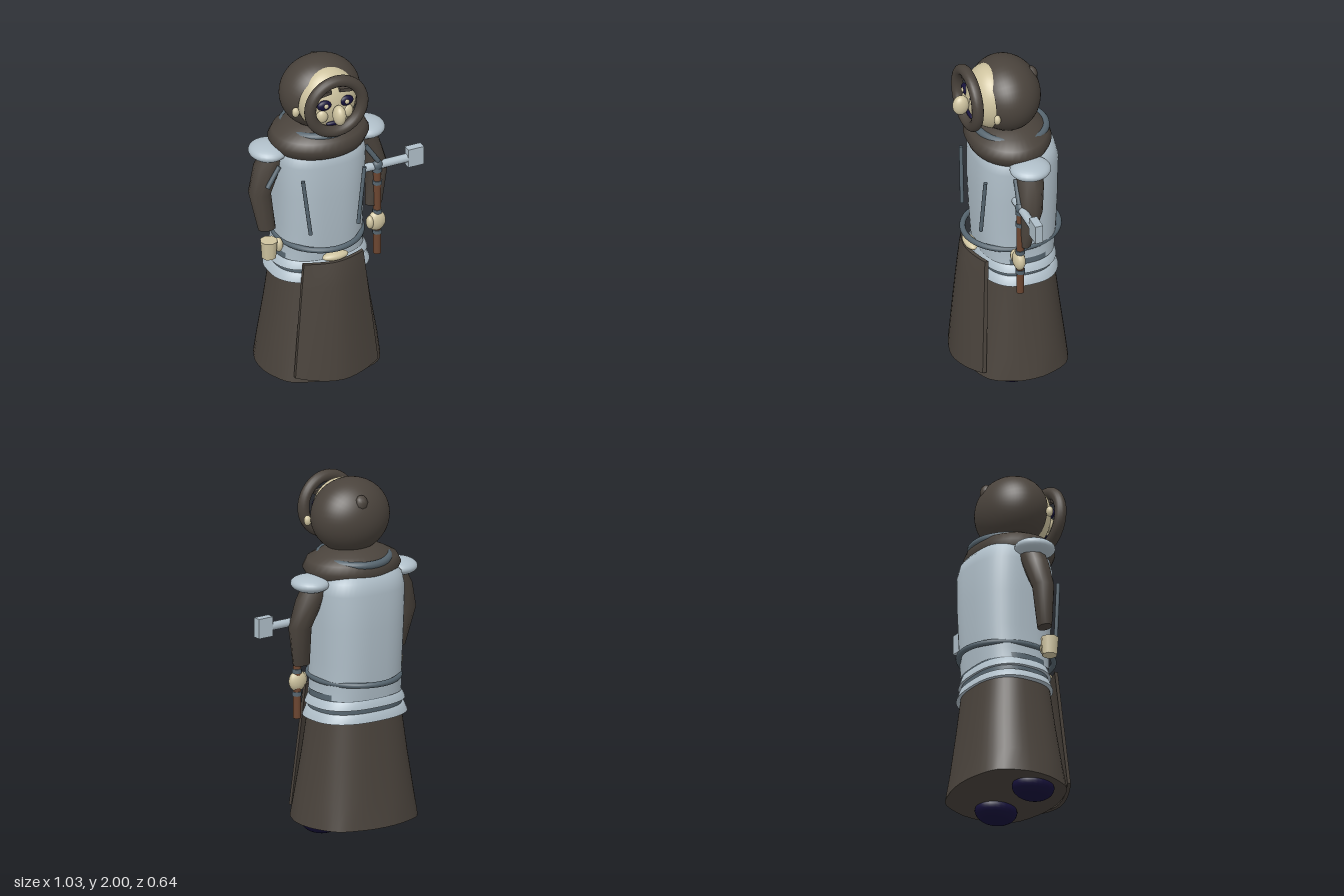
import * as THREE from 'three';

const mat = (name, color) => Object.assign(new THREE.MeshStandardMaterial({ color }), { name });

export function createModel() {
  const cloth = mat('dark cloth', 0x4a433c);
  const steel = mat('pale steel', 0xb0bfc9);
  const slate = mat('slate metal', 0x56656f);
  const skin = mat('skin', 0xcfc4a0);
  const navy = mat('navy', 0x16113a);
  const wood = mat('wood', 0x6b4530);

  const model = new THREE.Group();
  const body = new THREE.Group();
  body.name = 'figure';
  body.position.x = -0.097;
  model.add(body);

  const add = (name, geo, material, pos = [0, 0, 0], scale = [1, 1, 1], parent = body) => {
    const m = new THREE.Mesh(geo, material);
    m.name = name;
    m.position.set(...pos);
    m.scale.set(...scale);
    parent.add(m);
    return m;
  };
  const blob = (name, material, pos, size, seg = 24) =>
    add(name, new THREE.SphereGeometry(1, seg, Math.ceil(seg * 0.67)), material, pos, size);

  // Straight rod between two points
  const rod = (name, material, a, b, r0, r1 = r0, sides = 12) => {
    const p = new THREE.Vector3(...a), q = new THREE.Vector3(...b);
    const d = q.clone().sub(p);
    const m = add(name, new THREE.CylinderGeometry(r1, r0, d.length(), sides), material);
    m.position.copy(p).add(q).multiplyScalar(0.5);
    m.quaternion.setFromUnitVectors(new THREE.Vector3(0, 1, 0), d.normalize());
    return m;
  };

  // Skin over rounded-square rings, lowest first: [y, rx, rz, cx, cz]; a repeated row makes a hard edge
  const loft = (rows, sides = 40, power = 2, wave = () => 0) => {
    const pos = [], index = [];
    const bend = (v) => Math.sign(v) * Math.abs(v) ** (2 / power);
    rows.forEach(([y, rx, rz, cx = 0, cz = 0], j) => {
      for (let i = 0; i < sides; i++) {
        const a = (i / sides) * Math.PI * 2, k = 1 + wave(a, j);
        pos.push(cx + rx * k * bend(Math.cos(a)), y, cz + rz * k * bend(Math.sin(a)));
        if (j === rows.length - 1) continue;
        const p = j * sides + i, q = j * sides + ((i + 1) % sides);
        index.push(p, p + sides, q, q, p + sides, q + sides);
      }
    });
    const g = new THREE.BufferGeometry();
    g.setAttribute('position', new THREE.Float32BufferAttribute(pos, 3));
    g.setIndex(index);
    g.computeVertexNormals();
    return g;
  };

  // Robe skirt with a gently waving hem and closed underside
  add('skirt', loft([
    [0.09, 0.001, 0.001, 0, -0.025], [0.08, 0.345, 0.295, 0, -0.025], [0.08, 0.345, 0.295, 0, -0.025],
    [0.22, 0.325, 0.275, 0, -0.025], [0.45, 0.288, 0.245, 0, -0.028], [0.7, 0.255, 0.215, 0, -0.03],
    [0.7, 0.255, 0.215, 0, -0.03], [0.7, 0.001, 0.001, 0, -0.03],
  ], 48, 2.5, (a, j) => (j < 3 ? 0.012 * Math.cos(8 * a) : 0)), cloth);

  // Hanging front panel, bowed outward and widening to the hem
  const panel = new THREE.BoxGeometry(1, 1, 0.022, 12, 10, 1);
  const pp = panel.attributes.position;
  for (let i = 0; i < pp.count; i++) {
    const u = pp.getX(i) * 2, t = 0.5 - pp.getY(i);
    const mid = 0.235 + 0.075 * t ** 0.6, edge = 0.185 + 0.04 * t;
    pp.setXYZ(i, u * (0.18 + 0.07 * t), 0.81 - t * (0.715 - 0.025 * u * u),
      pp.getZ(i) + mid + (edge - mid) * Math.abs(u) ** 1.7);
  }
  panel.computeVertexNormals();
  add('frontPanel', panel, cloth);

  // Breastplate, waist and flared hip plates
  add('breastplate', loft([
    [0.8, 0.25, 0.21, 0, -0.035], [0.86, 0.245, 0.215, 0, -0.035], [1.0, 0.247, 0.225, 0, -0.035],
    [1.2, 0.255, 0.233, 0, -0.035], [1.4, 0.262, 0.233, 0, -0.035], [1.47, 0.25, 0.215, 0, -0.035],
    [1.52, 0.2, 0.17, 0, -0.04], [1.53, 0.001, 0.001, 0, -0.04],
  ], 48, 2.7), steel);
  add('waist', loft([[0.68, 0.263, 0.205, 0, -0.035], [0.83, 0.254, 0.205, 0, -0.035]], 48, 2.5), slate);
  [[0.675, 0.293], [0.75, 0.28]].forEach(([y, r]) => add('hipPlate', loft([
    [y, 0.24, 0.19, 0, -0.035], [y, r, r * 0.78, 0, -0.035], [y, r, r * 0.78, 0, -0.035],
    [y + 0.045, r - 0.02, r * 0.74, 0, -0.035], [y + 0.05, r - 0.04, r * 0.68, 0, -0.035],
  ], 48, 2.5), steel));
  const ring = (name, R, tube, pos, sx, sz) => {
    const g = new THREE.TorusGeometry(R, tube, 12, 56).rotateX(Math.PI / 2);
    return add(name, g, slate, pos, [sx, 1, sz]);
  };
  ring('belt', 0.265, 0.016, [0, 0.895, -0.025], 0.92, 1.01);
  blob('buckle', skin, [0, 0.835, 0.215], [0.077, 0.025, 0.035]);

  // Cowl and collar ring
  const cowl = [[0.001, 1.43], [0.2, 1.435], [0.26, 1.46], [0.288, 1.515], [0.265, 1.56], [0.2, 1.595], [0.14, 1.62], [0.001, 1.64]];
  add('cowl', loft(cowl.map(([r, y]) => [y, r, r * 0.82, 0, -0.005])), cloth);
  ring('collarRing', 0.2, 0.022, [0, 1.57, -0.025], 0.95, 0.97).rotation.x = -0.06;

  // Hood, open toward the face
  const hood = new THREE.SphereGeometry(1, 40, 24, 0, Math.PI * 2, 0, Math.PI * 0.71).rotateX(-Math.PI / 2);
  const hoodMat = cloth.clone();
  hoodMat.side = THREE.DoubleSide;
  add('hood', hood, hoodMat, [0, 1.79, 0.01], [0.23, 0.21, 0.193]);
  blob('hoodKnot', cloth, [0.03, 1.89, -0.135], [0.04, 0.05, 0.035], 10);
  add('hoodRim', new THREE.TorusGeometry(0.158, 0.033, 14, 48), cloth, [0, 1.803, 0.228]);

  // Head and face
  blob('head', skin, [0, 1.79, 0.1], [0.17, 0.188, 0.13], 32);
  blob('nose', skin, [0, 1.765, 0.268], [0.036, 0.06, 0.047]);
  blob('mouth', navy, [0, 1.69, 0.212], [0.055, 0.014, 0.016]);
  for (const s of [-1, 1]) {
    blob('ear', skin, [s * 0.2, 1.76, 0.13], [0.022, 0.03, 0.02], 10);
    blob('eye', navy, [s * 0.065, 1.816, 0.215], [0.044, 0.031, 0.02]);
    blob('pupil', skin, [s * 0.063, 1.818, 0.232], [0.014, 0.014, 0.009], 12);
    blob('cheek', skin, [s * 0.075, 1.745, 0.205], [0.034, 0.042, 0.028]);
    const brow = add('brow', new THREE.BoxGeometry(0.075, 0.02, 0.025), cloth, [s * 0.062, 1.888, 0.213]);
    brow.rotation.z = -s * 0.15;
  }

  // Sleeves, shoulder plates, straps and boots
  for (const s of [-1, 1]) {
    add('sleeve', loft([
      [0.985, 0.001, 0.001, s * 0.322, 0.02], [0.985, 0.052, 0.035, s * 0.322, 0.02], [0.985, 0.052, 0.035, s * 0.322, 0.02],
      [1.21, 0.065, 0.062, s * 0.353, -0.01], [1.36, 0.078, 0.075, s * 0.3, -0.025], [1.46, 0.075, 0.07, s * 0.25, -0.027],
    ], 10), cloth);
    blob('shoulderPlate', steel, [s * 0.295, 1.457, -0.027], [0.108, 0.048, 0.115]);
    rod('armStrap', slate, [s * 0.26, 1.38, 0.045], [s * 0.335, 1.265, 0.055], 0.014);
    rod('chestStrap', slate, [s * 0.186, 1.345, 0.195], [s * 0.144, 1.0, 0.205], 0.011);
    blob('boot', navy, [s * 0.188, 0.07, 0.03], [0.104, 0.07, 0.122]);
  }

  // Hands
  rod('rightFist', skin, [-0.325, 0.82, 0.05], [-0.325, 0.925, 0.05], 0.042, 0.05, 8);
  blob('rightThumb', skin, [-0.268, 0.885, 0.055], [0.024, 0.043, 0.028], 12);
  blob('leftFist', skin, [0.325, 0.885, 0.052], [0.055, 0.06, 0.034], 14);
  blob('leftThumb', skin, [0.282, 0.888, 0.06], [0.022, 0.04, 0.026], 12);

  // Long-handled hammer
  rod('hammerShaft', wood, [0.332, 0.675, 0.047], [0.332, 1.24, 0.047], 0.022);
  [0.815, 0.945, 1.13, 1.21].forEach((y) =>
    rod('shaftBand', slate, [0.332, y - 0.012, 0.047], [0.332, y + 0.012, 0.047], 0.027));
  blob('hammerSocket', slate, [0.332, 1.237, 0.045], [0.032, 0.035, 0.03], 14);
  rod('hammerNeck', steel, [0.25, 1.232, 0.042], [0.52, 1.232, 0.042], 0.024);
  add('hammerHead', new THREE.BoxGeometry(0.095, 0.112, 0.046), steel, [0.56, 1.237, 0.042]);

  return model;
}
